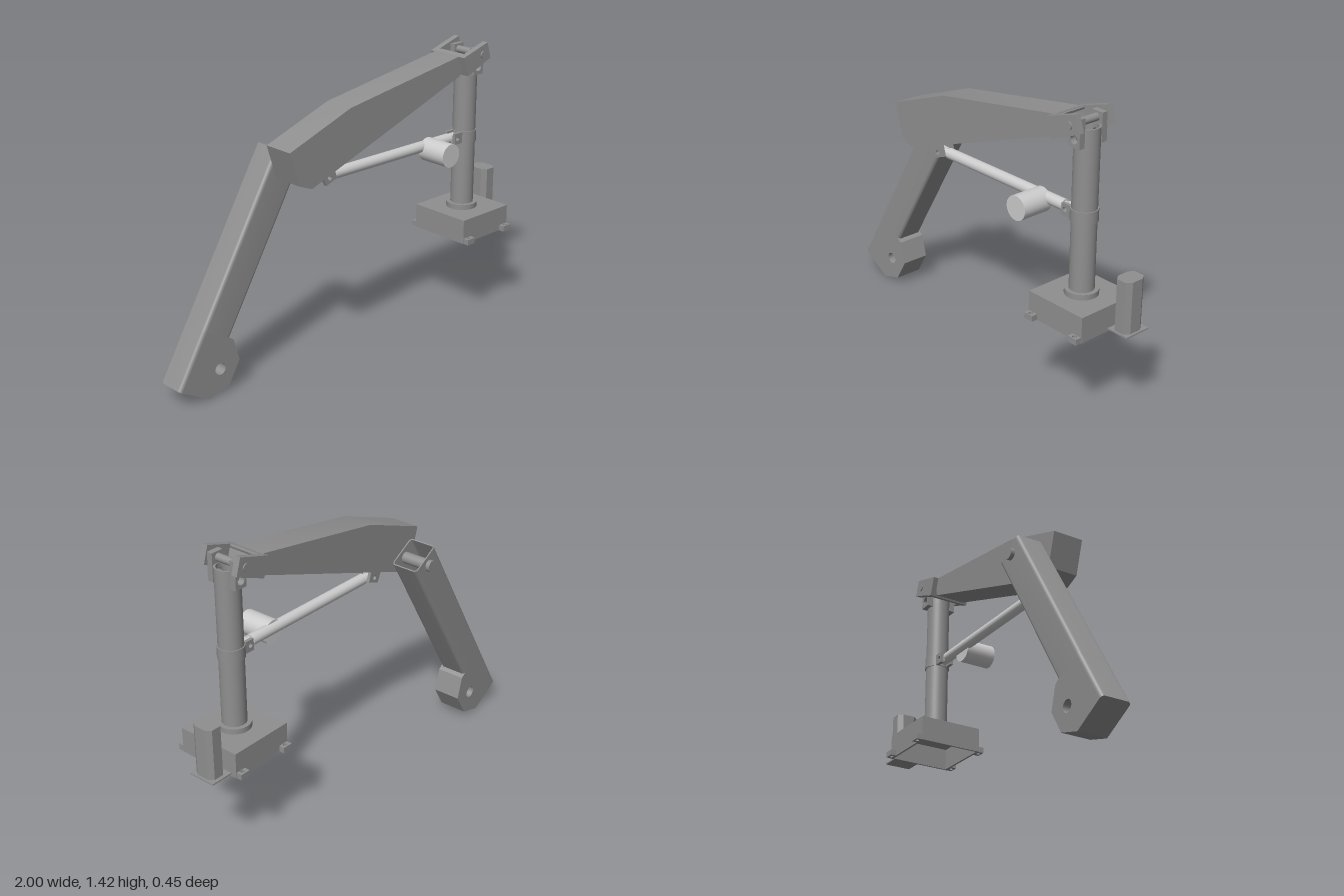
import * as THREE from 'three';
import { toCreasedNormals } from 'three/addons/utils/BufferGeometryUtils.js';

const DARK = new THREE.MeshStandardMaterial({ color: 0x8f8f8f });
const OPEN = new THREE.MeshStandardMaterial({ color: 0x8f8f8f, side: THREE.DoubleSide });
const LIGHT = new THREE.MeshStandardMaterial({ color: 0xcccccc });
const CZ = 0.033; // z of the column, boom and ram centreline
const CX = 0.72; // x of the column axis

// Creasing merges points closer than 0.01, so do it at a larger scale
const crease = geo => toCreasedNormals(geo.scale(100, 100, 100), 0.6).scale(0.01, 0.01, 0.01);

export function createModel() {
  const root = new THREE.Group();

  const add = (name, geo, mat = DARK) => {
    const mesh = new THREE.Mesh(geo, mat);
    mesh.name = name;
    root.add(mesh);
    return mesh;
  };

  const box = (name, x0, x1, y0, y1, z0, z1) =>
    add(name, new THREE.BoxGeometry(x1 - x0, y1 - y0, z1 - z0))
      .position.set((x0 + x1) / 2, (y0 + y1) / 2, (z0 + z1) / 2);

  // Side outline with round holes [x, y, r], extruded from z0 to z1
  const slab = (name, pts, z0, z1, holes = [], mat = DARK) => {
    const shape = new THREE.Shape(pts.map(p => new THREE.Vector2(...p)));
    for (const [x, y, r] of holes) shape.holes.push(new THREE.Path().absarc(x, y, r, 0, Math.PI * 2, true));
    const geo = new THREE.ExtrudeGeometry(shape, { depth: z1 - z0, bevelEnabled: false, curveSegments: 16 });
    const mesh = add(name, crease(geo), mat);
    mesh.position.z = z0;
    return mesh;
  };

  // Cylinder between two points
  const rod = (name, a, b, r, mat = DARK) => {
    const p = new THREE.Vector3(...a), q = new THREE.Vector3(...b);
    const mesh = add(name, new THREE.CylinderGeometry(r, r, p.distanceTo(q), 32), mat);
    mesh.position.copy(p).add(q).multiplyScalar(0.5);
    mesh.quaternion.setFromUnitVectors(new THREE.Vector3(0, 1, 0), q.sub(p).normalize());
  };

  // Open-bottomed base box: roof and four thin walls
  box('baseRoof', 0.56, 0.885, 0.547, 0.562, -0.13, 0.195);
  box('baseWall', 0.56, 0.57, 0.439, 0.547, -0.13, 0.195);
  box('baseWall', 0.875, 0.885, 0.439, 0.547, -0.13, 0.195);
  box('baseWall', 0.57, 0.875, 0.439, 0.547, -0.13, -0.12);
  box('baseWall', 0.57, 0.875, 0.439, 0.547, 0.185, 0.195);

  // Drilled mounting feet
  for (const x of [0.588, 0.857]) for (const z of [-0.142, 0.208]) {
    const foot = slab('mountingFoot',
      [[-0.025, -0.016], [0.025, -0.016], [0.025, 0.016], [-0.025, 0.016]], 0, 0.028, [[0, 0, 0.01]]);
    foot.rotation.x = -Math.PI / 2;
    foot.position.set(x, 0.439, z);
  }

  // Control post with chamfered corners on a thin plate
  box('postPlate', 0.88, 0.997, 0.448, 0.455, -0.1, 0.035);
  const post = slab('controlPost', [[-0.043, -0.03], [-0.025, -0.055], [0.025, -0.055], [0.043, -0.03],
    [0.043, 0.03], [0.025, 0.055], [-0.025, 0.055], [-0.043, 0.03]], 0, 0.25);
  post.rotation.x = -Math.PI / 2;
  post.position.set(0.943, 0.453, -0.028);

  // Column: collar, hollow tube slotted at front and back near the top, sleeve
  rod('columnCollar', [CX, 0.556, CZ], [CX, 0.588, CZ], 0.077);
  const tube = (r, y0, y1, start = 0, length = Math.PI * 2) =>
    add('columnTube', new THREE.CylinderGeometry(r, r, y1 - y0, 40, 1, true, start, length), OPEN)
      .position.set(CX, (y0 + y1) / 2, CZ);
  for (const r of [0.048, 0.057]) {
    tube(r, 0.585, 1.275);
    tube(r, 1.275, 1.315, 0.35, Math.PI - 0.7);
    tube(r, 1.275, 1.315, Math.PI + 0.35, Math.PI - 0.7);
    tube(r, 1.315, 1.337);
  }
  const rim = add('columnRim', new THREE.RingGeometry(0.048, 0.057, 40), OPEN);
  rim.rotation.x = -Math.PI / 2;
  rim.position.set(CX, 1.337, CZ);
  rod('columnSleeve', [CX, 0.91, CZ], [CX, 0.968, CZ], 0.062);

  // Boom with its end plate and the paired lugs around the column head
  slab('boom', [[-0.48, 1.128], [-0.43, 0.965], [-0.355, 0.934], [0.595, 1.272], [0.625, 1.373],
    [0.61, 1.373], [-0.12, 1.258]], -0.048, 0.107);
  slab('boomEndPlate', [[0.615, 1.274], [0.648, 1.285], [0.616, 1.378], [0.585, 1.368]], -0.07, 0.141);
  for (const s of [-1, 1]) {
    const span = (a, b) => s > 0 ? [CZ + a, CZ + b] : [CZ - b, CZ - a];
    slab('boomLug', [[0.615, 1.274], [0.775, 1.338], [0.75, 1.418], [0.585, 1.368]], ...span(0.078, 0.108));
    slab('columnLug', [[0.692, 1.258], [0.755, 1.258], [0.755, 1.39], [0.692, 1.39]], ...span(0.05, 0.08),
      [[CX + 0.002, 1.295, 0.02]]);
    // Ram brackets on the column and under the boom
    slab('columnRamBracket', [[0.618, 0.911], [0.68, 0.911], [0.68, 0.967], [0.618, 0.967]], ...span(0.02, 0.036),
      [[0.637, 0.939, 0.011]]);
    slab('boomRamBracket', [[-0.235, 0.909], [-0.17, 0.931], [-0.19, 0.996], [-0.265, 0.971]], ...span(0.02, 0.036),
      [[-0.213, 0.941, 0.011]]);
  }
  rod('headPin', [CX, 1.363, -0.08], [CX, 1.363, 0.148], 0.018);

  // Ram: eyes, tube and side motor
  for (const [x, y] of [[-0.213, 0.941], [0.637, 0.939]])
    slab('ramEye', [[x - 0.022, y - 0.018], [x + 0.022, y - 0.018], [x + 0.022, y + 0.018], [x - 0.022, y + 0.018]],
      CZ - 0.018, CZ + 0.018, [[x, y, 0.011]], LIGHT);
  rod('ramNeck', [-0.195, 0.941, CZ], [-0.16, 0.941, CZ], 0.02, LIGHT);
  rod('ramTube', [-0.165, 0.942, CZ], [0.605, 0.939, CZ], 0.027, LIGHT);
  rod('ramNeck', [0.6, 0.939, CZ], [0.62, 0.939, CZ], 0.02, LIGHT);
  rod('ramMotor', [0.46, 0.92, 0.03], [0.46, 0.92, 0.188], 0.058, LIGHT);

  // Arm: hollow open-topped beam with rounded long edges, hung beside the boom
  const along = new THREE.Vector3(0.508, 0.861, 0), across = new THREE.Vector3(0.861, -0.508, 0);
  const w = 0.166, h = 0.072, r = 0.018, wall = 0.006;
  const corners = (path, i) => path
    .absarc(w - r, h - r, r - i, 0, Math.PI / 2)
    .absarc(r, h - r, r - i, Math.PI / 2, Math.PI)
    .absarc(r, r - h, r - i, Math.PI, Math.PI * 1.5)
    .absarc(w - r, r - h, r - i, Math.PI * 1.5, Math.PI * 2);
  const section = corners(new THREE.Shape(), 0);
  section.holes.push(corners(new THREE.Path(), wall));
  const edge = new THREE.Shape().moveTo(r, h)
    .absarc(r, h - r, r, Math.PI / 2, Math.PI)
    .absarc(r, r - h, r, Math.PI, Math.PI * 1.5);
  const arm = (name, shape, from, depth) => {
    const geo = crease(new THREE.ExtrudeGeometry(shape, { depth, bevelEnabled: false, curveSegments: 6 }));
    const start = new THREE.Vector3(-1, 0.095, -0.133).addScaledVector(along, from);
    geo.applyMatrix4(new THREE.Matrix4().makeBasis(across, new THREE.Vector3(0, 0, -1), along).setPosition(start));
    add(name, geo);
  };
  arm('armBeam', section, 0.29, 0.871);
  arm('armFootEdge', edge, 0, 0.29);

  // Arm foot with the tool pin hole, beside its rounded edge
  slab('armFoot', [[r * 0.861 - 1, 0.095 - r * 0.508], [-0.835, 0], [-0.725, 0.03], [-0.66, 0.14], [-0.69, 0.25],
    [-0.71, 0.265], [r * 0.861 - 0.853, 0.345 - r * 0.508]], -0.205, -0.061, [[-0.77, 0.13, 0.029]]);
  rod('elbowPin', [-0.365, 1.012, -0.225], [-0.365, 1.012, -0.03], 0.028);

  return root;
}
